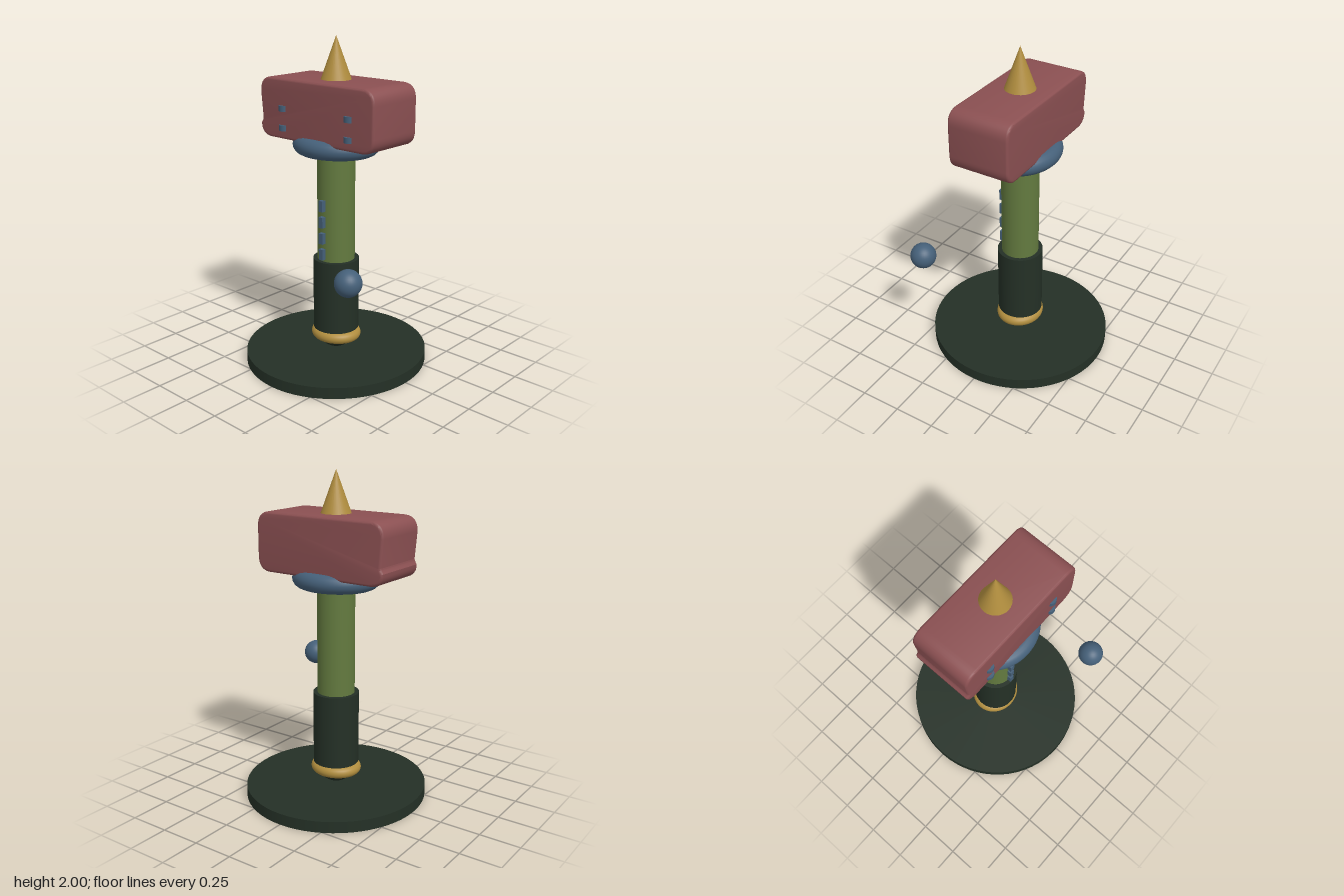
import * as THREE from 'three';
import { toCreasedNormals } from 'three/addons/utils/BufferGeometryUtils.js';

const material = (name, color) => new THREE.MeshStandardMaterial({ name, color });

export function createModel() {
  const model = new THREE.Group();
  model.name = 'hammerOnStand';
  const dark = material('darkGreen', 0x243026);
  const green = material('oliveGreen', 0x637a3f);
  const blue = material('slateBlue', 0x456079);
  const gold = material('gold', 0xb08d3e);
  const red = material('dustyRed', 0x8b5052);

  const add = (name, geometry, mat, x = 0, y = 0, z = 0) => {
    const mesh = new THREE.Mesh(geometry, mat);
    mesh.name = name;
    mesh.position.set(x, y, z);
    model.add(mesh);
    return mesh;
  };
  // Upright cylinder between two heights
  const column = (name, r, y0, y1, mat, sides = 48) =>
    add(name, new THREE.CylinderGeometry(r, r, y1 - y0, sides), mat, 0, (y0 + y1) / 2);
  // Horizontal ring, slightly wider in x than in z
  const ring = (name, outerX, outerZ, tube, y, mat) => {
    const g = new THREE.TorusGeometry(outerZ - tube, tube, 20, 64).rotateX(Math.PI / 2);
    add(name, g, mat, 0, y).scale.x = outerX / outerZ;
  };

  // Stand
  column('base', 0.567, 0, 0.07, dark, 64).scale.x = 0.98;

  // Handle
  add('pommel', new THREE.SphereGeometry(0.12, 32, 20), dark, 0, 0.19);
  ring('pommelRing', 0.16, 0.145, 0.035, 0.165, gold);
  column('grip', 0.14, 0.205, 0.66, dark);
  column('shaft', 0.114, 0.6, 1.45, green);
  for (let i = 0; i < 4; i++) {
    add('shaftStud', new THREE.BoxGeometry(0.03, 0.067, 0.04), blue, 0, 0.709 + i * 0.101, 0.12);
  }
  ring('collar', 0.27, 0.243, 0.056, 1.367, blue);

  // Head: rounded block with a shallow dent in its right end
  const bevel = 0.015;
  const x = 0.44 - bevel, y0 = 1.39 + bevel, y1 = 1.75 - bevel, r = 0.075;
  const outline = new THREE.Shape();
  outline.moveTo(-x + r, y0);
  outline.lineTo(x - r, y0);
  outline.quadraticCurveTo(x, y0, x, y0 + r);
  outline.lineTo(x, y1 - r);
  outline.quadraticCurveTo(x, y1, x - r, y1);
  outline.lineTo(-x + r, y1);
  outline.quadraticCurveTo(-x, y1, -x, y1 - r);
  outline.lineTo(-x + 0.015, 1.5);
  outline.quadraticCurveTo(-x + 0.014, 1.485, -x, 1.465);
  outline.quadraticCurveTo(-x, y0, -x + r, y0);
  const block = new THREE.ExtrudeGeometry(outline, {
    depth: 0.38 - 2 * bevel, bevelThickness: bevel, bevelSize: bevel, bevelSegments: 3, curveSegments: 10,
  }).translate(0, 0, -0.19 + bevel);
  add('head', toCreasedNormals(block, 0.6), red);

  // Rivets on the front of the head
  for (const side of [-1, 1]) {
    for (const y of [1.457, 1.573]) {
      add('headRivet', new THREE.CylinderGeometry(0.033, 0.033, 0.034, 20), blue, side * 0.255, y, 0.173);
    }
  }

  // Spike on top
  add('spike', new THREE.ConeGeometry(0.09, 0.25, 32), gold, 0, 1.875);

  // Floating ball
  add('ball', new THREE.SphereGeometry(0.078, 32, 20), blue, 0.454, 0.73, 0.407);
  return model;
}
